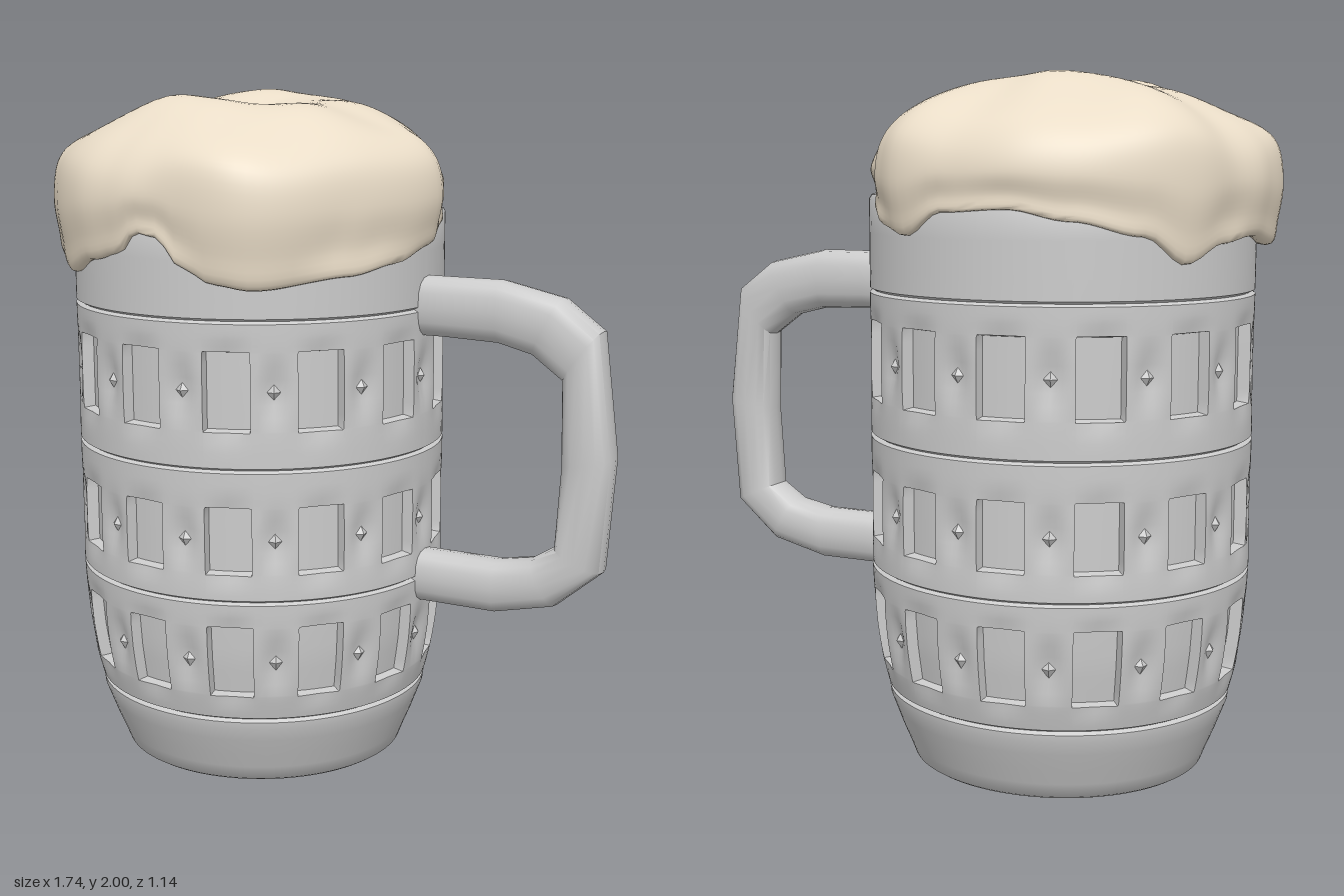
import * as THREE from 'three';
import { toCreasedNormals } from 'three/addons/utils/BufferGeometryUtils.js';

const CX = -0.267, CZ = -0.015, ZS = 0.985; // mug axis and slight depth squash
const COUNT = 13, PHASE = -7.6;             // windows around the mug
const rad = THREE.MathUtils.degToRad;

// Point on the mug at an angle from the front toward its left
const polar = (deg, r, y) => new THREE.Vector3(
  CX + r * Math.sin(rad(deg)), y, CZ + r * Math.cos(rad(deg)) * ZS);

// Skin a list of closed rings
function loft(rings, crease) {
  const n = rings[0].length, pos = [], idx = [];
  rings.forEach(ring => ring.forEach(p => pos.push(p.x, p.y, p.z)));
  for (let i = 0; i < rings.length - 1; i++) {
    for (let j = 0; j < n; j++) {
      const a = i * n + j, b = i * n + (j + 1) % n, c = b + n, d = a + n;
      idx.push(a, b, c, a, c, d);
    }
  }
  const g = new THREE.BufferGeometry();
  g.setAttribute('position', new THREE.Float32BufferAttribute(pos, 3));
  g.setIndex(idx);
  return toCreasedNormals(g, crease);
}

// Interpolate a [key, value] table, straight or eased
function lookup(table, x, eased = false) {
  if (x <= table[0][0]) return table[0][1];
  for (let i = 1; i < table.length; i++) {
    const [x0, v0] = table[i - 1], [x1, v1] = table[i];
    if (x <= x1) {
      let t = (x - x0) / (x1 - x0);
      if (eased) t = t * t * (3 - 2 * t);
      return v0 + (v1 - v0) * t;
    }
  }
  return table[table.length - 1][1];
}

// Bands of the glass: bottom, top, window bottom, window top
const BANDS = [
  [0.22, 0.588, 0.30, 0.51],
  [0.588, 0.97, 0.67, 0.86],
  [0.97, 1.387, 1.08, 1.30],
];
const WALL = [[0, 0.43], [0.02, 0.436], [0.1, 0.47], [0.19, 0.504], [0.22, 0.508],
  [0.3, 0.53], [0.4, 0.545], [0.5, 0.553], [0.6, 0.556]];
const wall = y => lookup(WALL, y);
const gauss = (x, w) => Math.exp(-(x * x) / (w * w));

// Glass body with recessed windows and grooves
function bodyGeometry() {
  const half = [0, 0.12, 0.244, 0.252, 0.28, 0.33, 0.38, 0.44];
  const steps = [-0.5, ...half.slice(1).reverse().map(v => -v), ...half];
  const cols = [];
  for (let k = 0; k < COUNT; k++) steps.forEach(t => cols.push([k, t]));
  const ring = (y, offset) => cols.map(([k, t]) =>
    polar(PHASE + (k + t) * 360 / COUNT, wall(y) + offset(t), y));
  const disc = (y, r) => cols.map(([k, t]) => polar(PHASE + (k + t) * 360 / COUNT, r, y));

  const rings = [disc(0, 0), disc(0, 0.3), disc(0, 0.42)];
  [0.008, 0.05, 0.1, 0.15, 0.19, 0.212].forEach(y => rings.push(ring(y, () => 0)));
  for (const [b0, b1, w0, w1] of BANDS) {
    const mid = (w0 + w1) / 2, ys = [b0 + 0.007];
    const span = (a, b, n) => { for (let i = 0; i <= n; i++) ys.push(a + (b - a) * i / n); };
    span(b0 + 0.02, w0 - 0.003, 3);
    span(w0 + 0.002, w1 - 0.002, 6);
    span(w1 + 0.003, b1 - 0.02, 4);
    ys.push(b1 - 0.007);
    rings.push(ring(b0, () => -0.012));
    for (const y of ys) {
      const open = y > w0 && y < w1;
      rings.push(ring(y, t => {
        if (open && Math.abs(t) < 0.25) return -0.036;
        const side = 0.02 * gauss(Math.abs(t) - 0.5, 0.14) * gauss(y - mid, 0.07);
        const arch = 0.009 * gauss(t, 0.22) * (gauss(y - w1, 0.03) + gauss(y - w0, 0.03));
        return -side - arch;
      }));
    }
  }
  // Plain collar and rim
  rings.push(ring(1.387, () => -0.012));
  [1.394, 1.45, 1.55, 1.645].forEach(y => rings.push(ring(y, () => 0)));
  rings.push(disc(1.658, 0.548), disc(1.662, 0.535), disc(1.64, 0.51), disc(1.64, 0));
  return loft(rings, 0.7);
}

// Small diamond stud between two windows
function studGeometry() {
  const g = new THREE.ConeGeometry(0.033, 0.022, 4).toNonIndexed();
  g.rotateX(Math.PI / 2);
  g.computeVertexNormals();
  return g;
}

// Handle section pairs: outer x, y and inner x, y
const HANDLE = [
  [0.24, 1.48, 0.24, 1.305], [0.36, 1.48, 0.36, 1.305], [0.52, 1.48, 0.52, 1.30],
  [0.705, 1.44, 0.62, 1.275], [0.82, 1.355, 0.71, 1.21], [0.866, 1.0, 0.715, 0.97],
  [0.842, 0.67, 0.70, 0.73], [0.705, 0.553, 0.63, 0.685], [0.525, 0.51, 0.525, 0.665],
  [0.36, 0.51, 0.36, 0.665], [0.24, 0.51, 0.24, 0.665],
];
function handleGeometry() {
  const N = 16, soft = v => Math.sign(v) * Math.abs(v) ** 0.75;
  const rings = HANDLE.map(([ox, oy, ix, iy]) => Array.from({ length: N }, (_, j) => {
    const a = j / N * Math.PI * 2, c = soft(Math.cos(a)) / 2, s = soft(Math.sin(a));
    return new THREE.Vector3((ox + ix) / 2 + (ox - ix) * c, (oy + iy) / 2 + (oy - iy) * c,
      -0.024 + 0.066 * s);
  }));
  return loft(rings, 0.75);
}

// Foam outline radius and dripping lower edge, by angle
const FOAM_R = [[0, 0.575], [26, 0.612], [56, 0.575], [89, 0.6], [103, 0.552], [133, 0.55],
  [142, 0.582], [153, 0.6], [173, 0.572], [193, 0.58], [216, 0.578], [241, 0.595],
  [256, 0.58], [271, 0.605], [290, 0.628], [311, 0.605], [332, 0.605], [347, 0.59], [360, 0.575]];
const FOAM_EDGE = [[0, 1.61], [8, 1.53], [17, 1.49], [28, 1.475], [56, 1.505], [72, 1.53],
  [88, 1.57], [97, 1.62], [103, 1.655], [134, 1.655], [143, 1.58], [155, 1.555], [168, 1.62],
  [188, 1.63], [205, 1.6], [225, 1.56], [238, 1.485], [252, 1.535], [268, 1.55], [285, 1.52],
  [302, 1.515], [319, 1.485], [335, 1.535], [346, 1.56], [353, 1.62], [360, 1.61]];
const LUMPS = [ // x, z, height, width
  [-0.32, -0.17, 0.045, 0.17], [-0.37, 0.28, 0.052, 0.15], [-0.02, 0.22, 0.03, 0.15],
  [-0.25, 0.03, -0.03, 0.13], [-0.62, -0.1, 0.02, 0.14], [0.02, -0.15, 0.03, 0.15],
  [-0.72, 0.13, -0.025, 0.12], [-0.15, 0.42, -0.02, 0.12], [0.15, 0.0, -0.015, 0.1],
];
function foamGeometry() {
  const N = 120, M = 44;
  const curves = Array.from({ length: N }, (_, j) => {
    const deg = j / N * 360;
    const R = lookup(FOAM_R, deg, true), e = lookup(FOAM_EDGE, deg, true);
    const wave = 0.012 * Math.sin(rad(deg * 5 + 40)) + 0.008 * Math.sin(rad(deg * 8));
    const edge = R < 0.556 ? 0.53 : Math.max(R - 0.03, 0.566);
    const at = (r, y) => new THREE.Vector3(r, y, 0);
    return new THREE.CatmullRomCurve3([
      at(0.51, e + 0.015), at(edge, e), at(Math.max(edge, R - 0.012), e + (1.76 - e) * 0.3),
      at(R, e + (1.76 - e) * 0.7), at(R * 0.97, 1.79 + wave), at(R * 0.89, 1.85 + wave),
      at(R * 0.74, 1.9 + wave), at(R * 0.5, 1.94 + wave * 0.5), at(R * 0.25, 1.957), at(0, 1.957),
    ], false, 'centripetal');
  });
  const rings = [];
  for (let i = 0; i <= M; i++) {
    rings.push(curves.map((curve, j) => {
      const q = curve.getPoint(i / M);
      const p = polar(j / N * 360, Math.max(q.x, 0), q.y);
      const fade = THREE.MathUtils.smoothstep(q.y, 1.72, 1.88);
      for (const [x, z, h, w] of LUMPS) p.y += fade * h * gauss(Math.hypot(p.x - x, p.z - z), w);
      p.y = Math.min(p.y, 2);
      return p;
    }));
  }
  return loft(rings, 1.3);
}

export function createModel() {
  const group = new THREE.Group();
  const glass = new THREE.MeshStandardMaterial({ color: 0xcccccc });
  const cream = new THREE.MeshStandardMaterial({ color: 0xeaddc8 });
  const add = (name, geometry, material, parent = group) => {
    const mesh = new THREE.Mesh(geometry, material);
    mesh.name = name;
    parent.add(mesh);
    return mesh;
  };
  add('mugBody', bodyGeometry(), glass);
  add('handle', handleGeometry(), glass);
  add('foam', foamGeometry(), cream);

  // Diamond studs set between the windows of every band
  const studs = new THREE.Group();
  studs.name = 'diamondStuds';
  group.add(studs);
  const stud = studGeometry();
  for (const [, , w0, w1] of BANDS) {
    for (let k = 0; k < COUNT; k++) {
      const deg = PHASE + (k + 0.5) * 360 / COUNT, y = (w0 + w1) / 2;
      const mesh = add('diamondStud', stud, glass, studs);
      mesh.position.copy(polar(deg, wall(y) - 0.014, y));
      mesh.rotation.y = rad(deg);
    }
  }
  return group;
}
